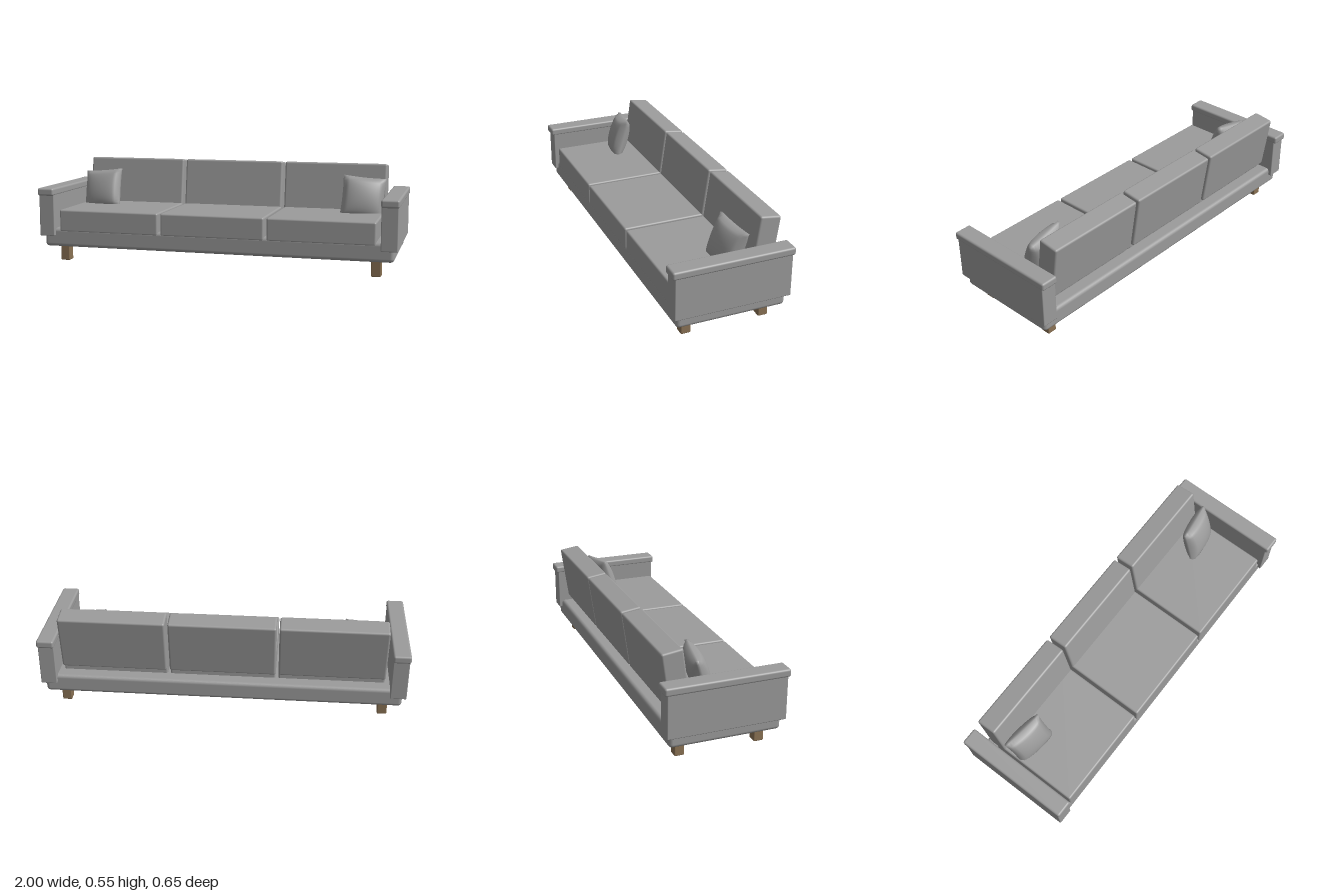
import * as THREE from 'three';
import { RoundedBoxGeometry } from 'three/addons/geometries/RoundedBoxGeometry.js';
import { mergeVertices } from 'three/addons/utils/BufferGeometryUtils.js';

const fabric = new THREE.MeshStandardMaterial({ color: 0x9b9b9b });
fabric.name = 'grey fabric';
const wood = new THREE.MeshStandardMaterial({ color: 0x8b7355 });
wood.name = 'brown wood';

// Rounded block given its size and centre
function block(name, [w, h, d], [x, y, z], radius, material = fabric) {
  const mesh = new THREE.Mesh(new RoundedBoxGeometry(w, h, d, 3, radius), material);
  mesh.name = name;
  mesh.position.set(x, y, z);
  return mesh;
}

// Square pillow: thick in the middle, thin at the seam, edges drawn in a little
function pillowGeometry(half, thick, seam) {
  const box = new THREE.BoxGeometry(2, 2, 2, 14, 14, 1);
  box.deleteAttribute('uv');
  box.deleteAttribute('normal');
  const geometry = mergeVertices(box);
  const p = geometry.attributes.position;
  for (let i = 0; i < p.count; i++) {
    const x = p.getX(i), y = p.getY(i);
    const a = Math.max(0, 1 - x * x), b = Math.max(0, 1 - y * y);
    const z = seam + (thick - seam) * Math.pow(a * b, 0.42);
    p.setXYZ(i, half * x * (1 - 0.04 * b), half * y * (1 - 0.04 * a), Math.sign(p.getZ(i)) * z);
  }
  geometry.computeVertexNormals();
  return geometry;
}

export function createModel() {
  const sofa = new THREE.Group();
  sofa.name = 'sofa';

  // Base platform
  sofa.add(block('base', [1.95, 0.104, 0.588], [0, 0.139, 0], 0.02));

  // Three seat cushions and three leaning back cushions
  for (const i of [-1, 0, 1]) {
    const x = i * 0.593;
    sofa.add(block('seatCushion', [0.577, 0.124, 0.515], [x, 0.234, 0.038], 0.01));
    const back = block('backCushion', [0.577, 0.31, 0.115], [x, 0.392, -0.223], 0.011);
    back.rotation.x = -0.14;
    sofa.add(back);
  }

  const pillowShape = pillowGeometry(0.117, 0.054, 0.007);
  for (const s of [-1, 1]) {
    // Arm with its overhanging cap
    sofa.add(block('arm', [0.088, 0.25, 0.626], [s * 0.951, 0.273, 0], 0.005));
    sofa.add(block('armCap', [0.095, 0.042, 0.652], [s * 0.9525, 0.396, 0], 0.011));

    // Legs
    for (const z of [-0.213, 0.213]) {
      sofa.add(block('leg', [0.052, 0.1, 0.052], [s * 0.878, 0.05, z], 0.005, wood));
    }

    // Throw pillow, leaning back and turned
    const pillow = new THREE.Mesh(pillowShape, fabric);
    pillow.name = 'throwPillow';
    pillow.position.set(s * 0.765, 0.375, -0.066);
    pillow.rotation.set(-0.3, s * 0.18, s * -0.1, 'YXZ');
    sofa.add(pillow);
  }
  return sofa;
}
